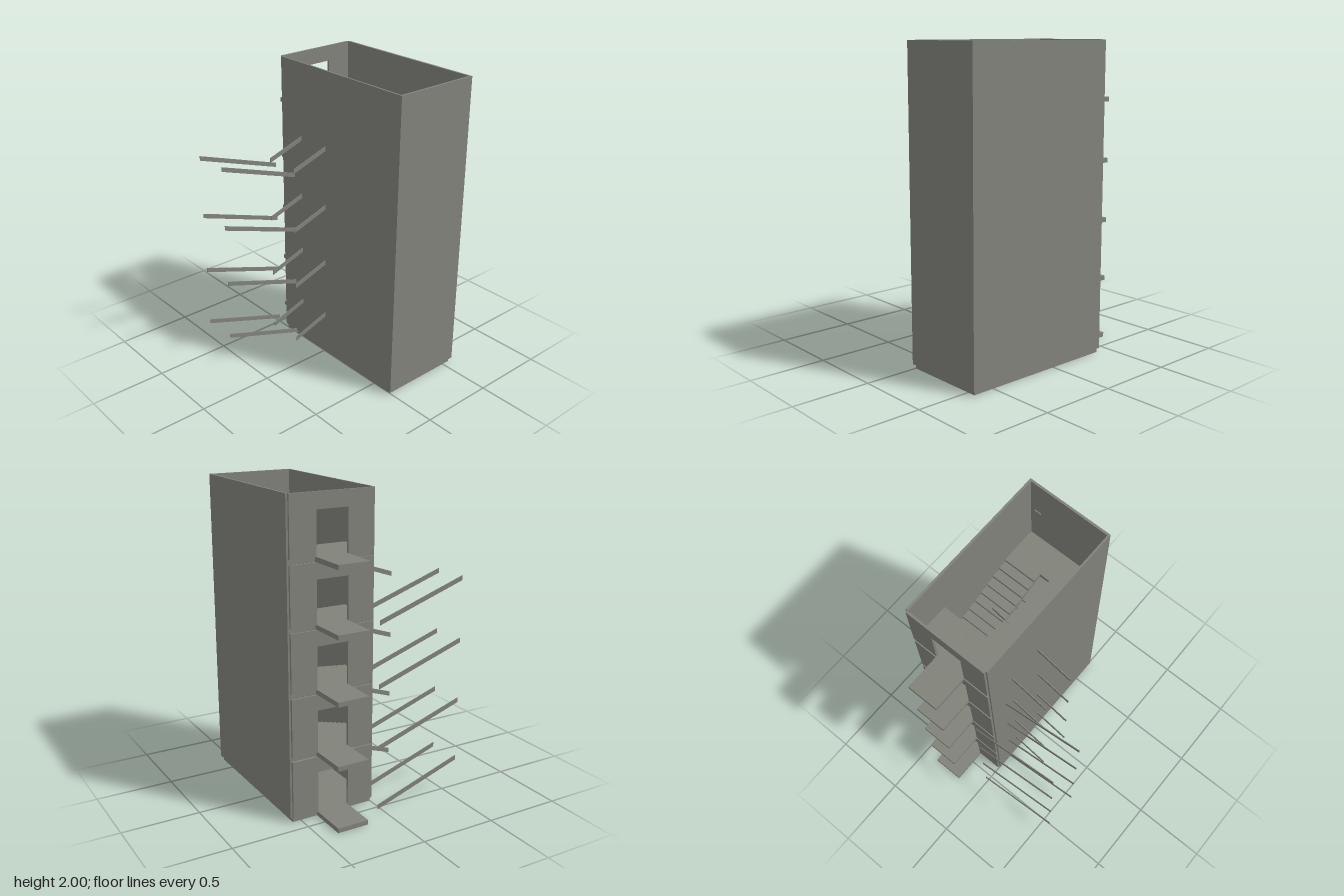
import * as THREE from 'three';

export function createModel() {
  const model = new THREE.Group();
  model.name = 'stairTower';
  const concrete = new THREE.MeshStandardMaterial({ color: 0x80827a });
  concrete.name = 'concrete grey';

  const STOREY = 0.4, SLAB = 0.03, FLOORS = 5;
  const BACK = -0.155, FRONT = 0.445; // z limits of the stair flights

  function add(name, geometry) {
    const mesh = new THREE.Mesh(geometry, concrete);
    mesh.name = name;
    model.add(mesh);
    return mesh;
  }
  function box(name, x0, x1, y0, y1, z0, z1) {
    const mesh = add(name, new THREE.BoxGeometry(x1 - x0, y1 - y0, z1 - z0));
    mesh.position.set((x0 + x1) / 2, (y0 + y1) / 2, (z0 + z1) / 2);
    return mesh;
  }
  function extrude(points, depth) {
    const shape = new THREE.Shape(points.map(([x, y]) => new THREE.Vector2(x, y)));
    return new THREE.ExtrudeGeometry(shape, { depth, bevelEnabled: false });
  }

  // Outer shell, open at the top
  box('rightWall', -0.01, 0.002, SLAB, 2, -0.405, 0.645);
  box('leftWall', 0.555, 0.57, SLAB, 2, -0.405, 0.645);
  box('frontWall', -0.01, 0.57, SLAB, 2, 0.645, 0.66);
  box('groundSlab', 0, 0.555, 0, SLAB, BACK, 0.645);

  // One flight: stepped top, sloping underside
  function flight(name, xMin, xMax, zStart, zEnd, yStart) {
    const steps = 10, tread = (zEnd - zStart) / steps, rise = STOREY / 2 / steps;
    const points = [[zStart, yStart - SLAB], [zStart, yStart]];
    for (let i = 0; i < steps; i++) {
      points.push([zStart + i * tread, yStart + (i + 1) * rise]);
      points.push([zStart + (i + 1) * tread, yStart + (i + 1) * rise]);
    }
    points.push([zEnd, yStart + STOREY / 2 - SLAB]);
    points.splice(1, 1);
    const geometry = extrude(points, xMax - xMin);
    geometry.rotateY(-Math.PI / 2);
    add(name, geometry).position.x = xMax;
  }

  // Thin sloping stringer plate with upright ends
  function stringer(x0, y0, x1, y1, z) {
    const points = [[x0, y0], [x1, y1], [x1, y1 + SLAB], [x0, y0 + SLAB]];
    add('stringer', extrude(points, 0.005)).position.z = z - 0.0025;
  }

  for (let k = 0; k < FLOORS; k++) {
    const y = k * STOREY;

    // Floor landing, balcony and back panel with a doorway
    box('landing', 0, 0.555, y, y + SLAB, -0.402, BACK);
    box('balcony', 0.175, 0.385, y, y + SLAB, -0.66, -0.402);
    const low = y + SLAB, top = y + STOREY, head = y + 0.3;
    add('doorPanel', extrude([
      [0, low], [0.175, low], [0.175, head], [0.385, head],
      [0.385, low], [0.558, low], [0.558, top], [0, top],
    ], 0.015)).position.z = -0.42;

    if (k === FLOORS - 1) continue;

    // Two flights around a half landing
    flight('lowerFlight', 0.32, 0.552, BACK, FRONT, y + SLAB);
    box('halfLanding', 0, 0.555, y + 0.2, y + 0.2 + SLAB, FRONT, 0.645);
    flight('upperFlight', 0.004, 0.24, FRONT, BACK, y + 0.2 + SLAB);

    // Stringers set across the tower
    for (const z of [-0.53, -0.29]) stringer(-0.575, y + 0.205, 0.022, y + 0.003, z);
    for (const z of [-0.215, 0.02]) stringer(-0.262, y + 0.205, 0.335, y + 0.407, z);
  }

  // Small bracket high on the inside of the front wall
  box('wallBracket', 0.48, 0.525, 1.71, 1.725, 0.638, 0.645);

  return model;
}
